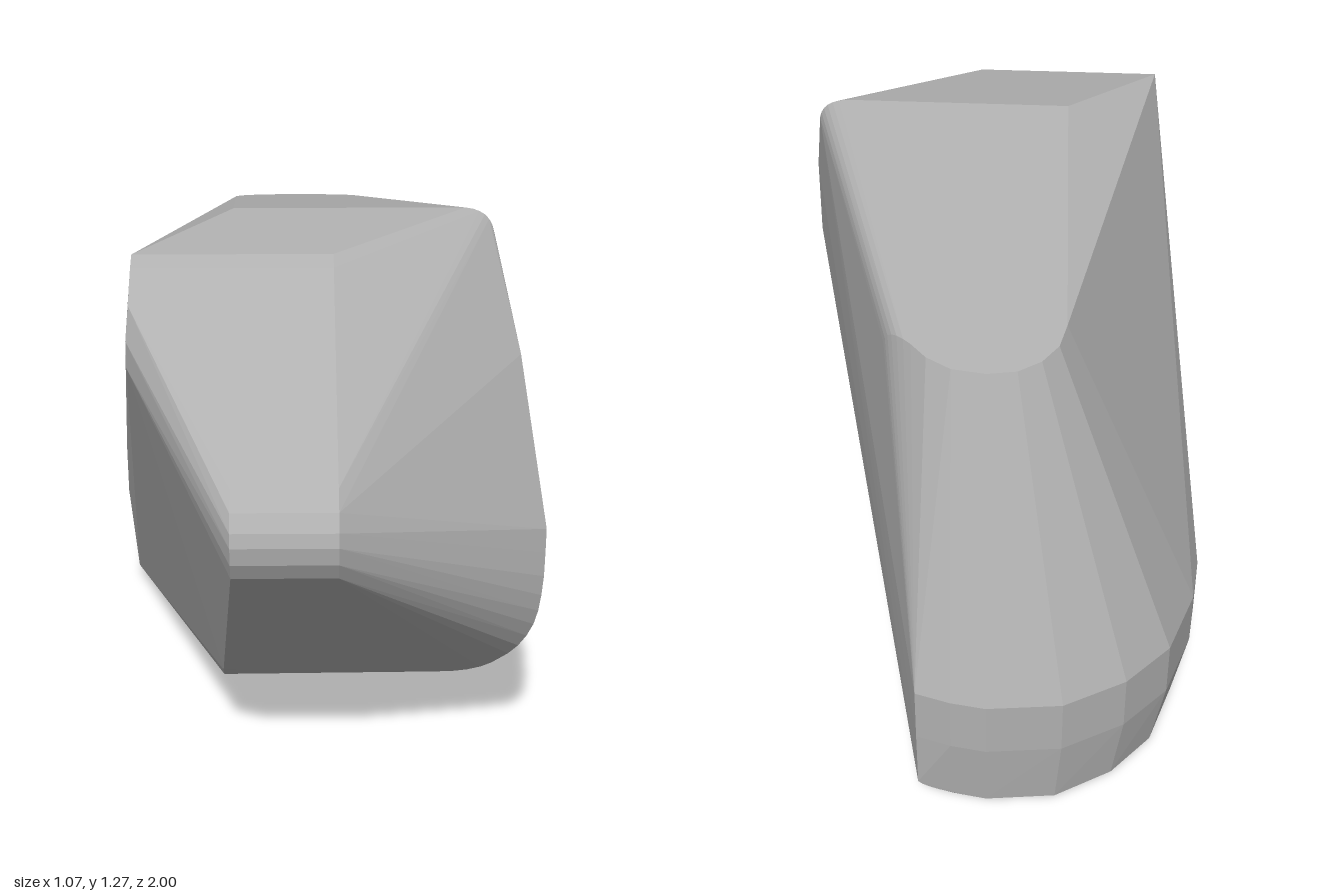
import * as THREE from 'three';
import { ConvexGeometry } from 'three/addons/geometries/ConvexGeometry.js';

const V = (x, y, z) => new THREE.Vector3(x, y, z);

// Points of a rounded edge running from rail a, past the corner rail c, to rail b
function roundover(a, c, b, along, around) {
  const [ca, cc, cb] = [a, c, b].map((r) => new THREE.CatmullRomCurve3(r.map((p) => V(...p)), false, 'centripetal'));
  const out = [];
  for (let i = 0; i <= along; i++) {
    const t = i / along;
    const arc = new THREE.QuadraticBezierCurve3(ca.getPoint(t), cc.getPoint(t), cb.getPoint(t));
    out.push(...arc.getPoints(around));
  }
  return out;
}

export function createModel() {
  const group = new THREE.Group();
  const stone = new THREE.MeshStandardMaterial({ color: 0xb0b0b0 });
  stone.name = 'stoneGrey';
  const pts = [];

  // Blunt nose: a rounded profile (z, y) between two x positions
  for (const [z, y] of [[0.93, 0.89], [0.97, 0.855], [0.993, 0.82], [1, 0.79], [0.995, 0.75], [0.975, 0.71]]) {
    pts.push(V(-0.17, y, z), V(0.05, y, z));
  }

  // Brow edge above the nose and the top ridge
  pts.push(V(-0.4, 1.23, 0.42), V(0.05, 1.23, 0.42), V(-0.4, 1.21, 0.46), V(0.05, 1.21, 0.46));
  pts.push(V(-0.4, 1.15, 0.54), V(-0.405, 1.08, 0.575), V(-0.405, 1.02, 0.58));
  pts.push(V(-0.18, 1.265, 0.15));

  // Rounded edge between the top and the flat +x side
  pts.push(...roundover(
    [[0.44, 1.21, 0.16], [0.2, 1.04, -0.57]],
    [[0.43, 1.26, 0.15], [0.19, 1.1, -0.59]],
    [[0.37, 1.265, 0.15], [0.13, 1.095, -0.65]], 1, 6));

  // Arched back end of the top
  for (const [x, z] of [[-0.2, -0.58], [-0.185, -0.64], [-0.15, -0.685], [-0.1, -0.715], [-0.035, -0.725], [0.04, -0.715], [0.095, -0.685]]) {
    pts.push(V(x, 1.08 + (z + 0.72) * 0.213, z));
  }

  // Front edge of the flat +x side
  const frontEdge = new THREE.CatmullRomCurve3([
    V(0.535, 0.63, 0.59), V(0.528, 0.5, 0.625), V(0.513, 0.4, 0.62), V(0.475, 0.315, 0.59), V(0.42, 0.225, 0.5)]);
  pts.push(...frontEdge.getPoints(10), V(0.49, 0.97, 0.36));

  // Rounded edge between the flat side and the curved underside
  pts.push(...roundover(
    [[0.45, 0.27, 0.55], [0.405, 0.17, 0.25], [0.335, 0.11, 0], [0.255, 0.075, -0.3], [0.16, 0.06, -0.65], [0.11, 0.07, -0.96]],
    [[0.4, 0.21, 0.53], [0.355, 0.1, 0.25], [0.3, 0.04, 0], [0.225, 0.005, -0.3], [0.14, 0, -0.65], [0.09, 0.045, -0.96]],
    [[0.25, 0.21, 0.51], [0.2, 0.1, 0.25], [0.15, 0.04, 0], [0.08, 0.005, -0.3], [0, 0, -0.65], [-0.05, 0.045, -0.98]], 16, 6));

  // Seam under the chin and the far side of the underside
  pts.push(V(-0.21, 0.21, 0.52), V(-0.21, 0.24, 0.55), V(0.25, 0.25, 0.55));
  pts.push(V(-0.25, 0.008, -0.5), V(-0.5, 0.04, -0.38));

  // Rounded back rim: vertical band with a slightly smaller lower edge
  const rim = [[0.11, -0.965], [0.03, -0.988], [-0.05, -1], [-0.22, -0.98], [-0.36, -0.9], [-0.46, -0.79], [-0.52, -0.62], [-0.535, -0.5]];
  for (const [x, z] of rim) {
    pts.push(V(x, 0.37, z), V(x, 0.23, z));
    pts.push(V(-0.05 + (x + 0.05) * 0.93, 0.045, z * 0.98));
  }

  const body = new THREE.Mesh(new ConvexGeometry(pts), stone);
  body.name = 'boulder';
  group.add(body);
  return group;
}
